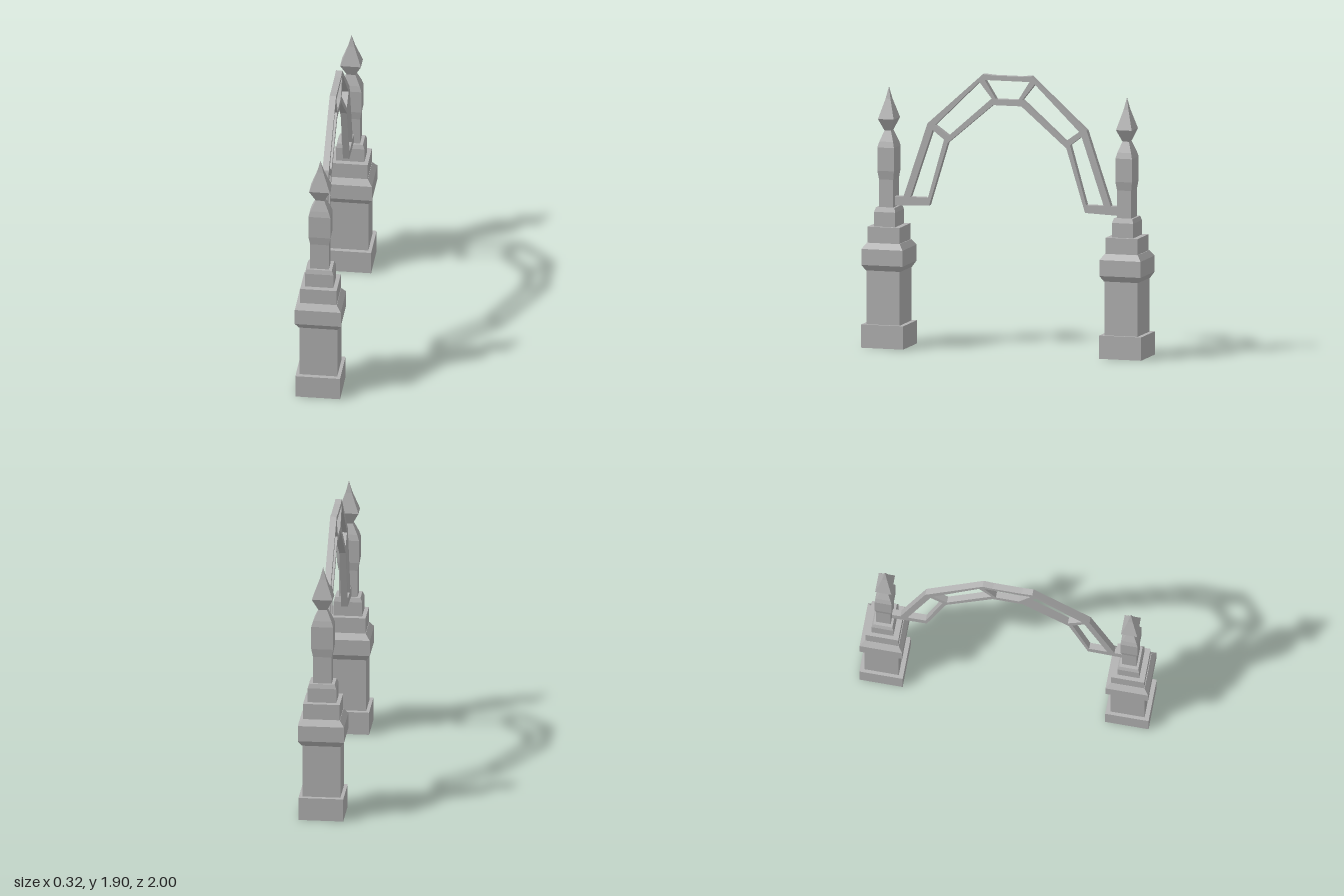
import * as THREE from 'three';

const stone = new THREE.MeshStandardMaterial({ color: 0xb2b2b2 });
stone.name = 'grey stone';

// Square-section solid: profile of [half width in x, height]; depth is z relative to x
function squareTurned(name, profile, depth) {
  const pts = profile.map(([w, y]) => new THREE.Vector2(w * Math.SQRT2, y));
  pts.unshift(new THREE.Vector2(0, profile[0][1]));
  const last = profile[profile.length - 1];
  if (last[0] > 0) pts.push(new THREE.Vector2(0, last[1]));
  const geo = new THREE.LatheGeometry(pts, 4, Math.PI / 4).toNonIndexed();
  geo.scale(1, 1, depth);
  geo.computeVertexNormals(); // crisp facets
  const mesh = new THREE.Mesh(geo, stone);
  mesh.name = name;
  return mesh;
}

function makePillar(name) {
  const pillar = new THREE.Group();
  pillar.name = name;
  pillar.add(
    squareTurned('plinth', [[0.153, 0], [0.153, 0.16]], 0.98),
    squareTurned('shaft', [[0.13, 0.15], [0.13, 0.54]], 0.91),
    squareTurned('capital', [[0.132, 0.53], [0.158, 0.57], [0.158, 0.68], [0.127, 0.72]], 0.93),
    squareTurned('upperBlock', [[0.125, 0.71], [0.125, 0.83]], 0.91),
    squareTurned('collar', [[0.098, 0.82], [0.098, 0.93], [0.086, 0.96]], 0.77),
    squareTurned('post', [[0.064, 0.95], [0.064, 1.15], [0.075, 1.21], [0.075, 1.37],
      [0.062, 1.41], [0.028, 1.485]], 0.79),
    squareTurned('finial', [[0.028, 1.48], [0.071, 1.565], [0.022, 1.70], [0.01, 1.745], [0, 1.785]], 0.79)
  );
  return pillar;
}

// Symmetric outline: half of the points given, the rest mirrored in reverse
const mirrored = half => [...half, ...half.slice().reverse().map(([a, b]) => [-a, b])];
const toVectors = pts => pts.map(([a, b]) => new THREE.Vector2(a, b));

function makeArch() {
  const outer = [[0.102, 1.69], [0.424, 1.415], [0.557, 0.978], [0.81, 0.968], [0.81, 1.032],
    [0.74, 1.032], [0.568, 1.544], [0.172, 1.9], [0.1, 1.893]];
  const shape = new THREE.Shape(toVectors(mirrored(outer)));

  // Openings between the two ribs and the struts
  const crown = mirrored([[0.08, 1.732], [0.16, 1.86]]);
  const upper = [[0.198, 1.845], [0.11, 1.735], [0.418, 1.464], [0.515, 1.533]];
  const lower = [[0.532, 1.5], [0.45, 1.437], [0.606, 1.032], [0.69, 1.032]];
  lower[2][0] = 0.565; // inner rib foot
  const flip = pts => pts.map(([a, b]) => [-a, b]);
  for (const hole of [crown, upper, flip(upper), lower, flip(lower)]) {
    shape.holes.push(new THREE.Path(toVectors(hole)));
  }

  const width = 0.044;
  const geo = new THREE.ExtrudeGeometry(shape, { depth: width, bevelEnabled: false });
  geo.translate(0, 0, -width / 2);
  geo.rotateY(-Math.PI / 2);
  const arch = new THREE.Mesh(geo, stone);
  arch.name = 'openworkArch';
  return arch;
}

export function createModel() {
  const model = new THREE.Group();
  model.name = 'archedGateway';
  for (const [name, z] of [['frontPillar', 0.85], ['backPillar', -0.85]]) {
    const pillar = makePillar(name);
    pillar.position.z = z;
    model.add(pillar);
  }
  model.add(makeArch());
  return model;
}
